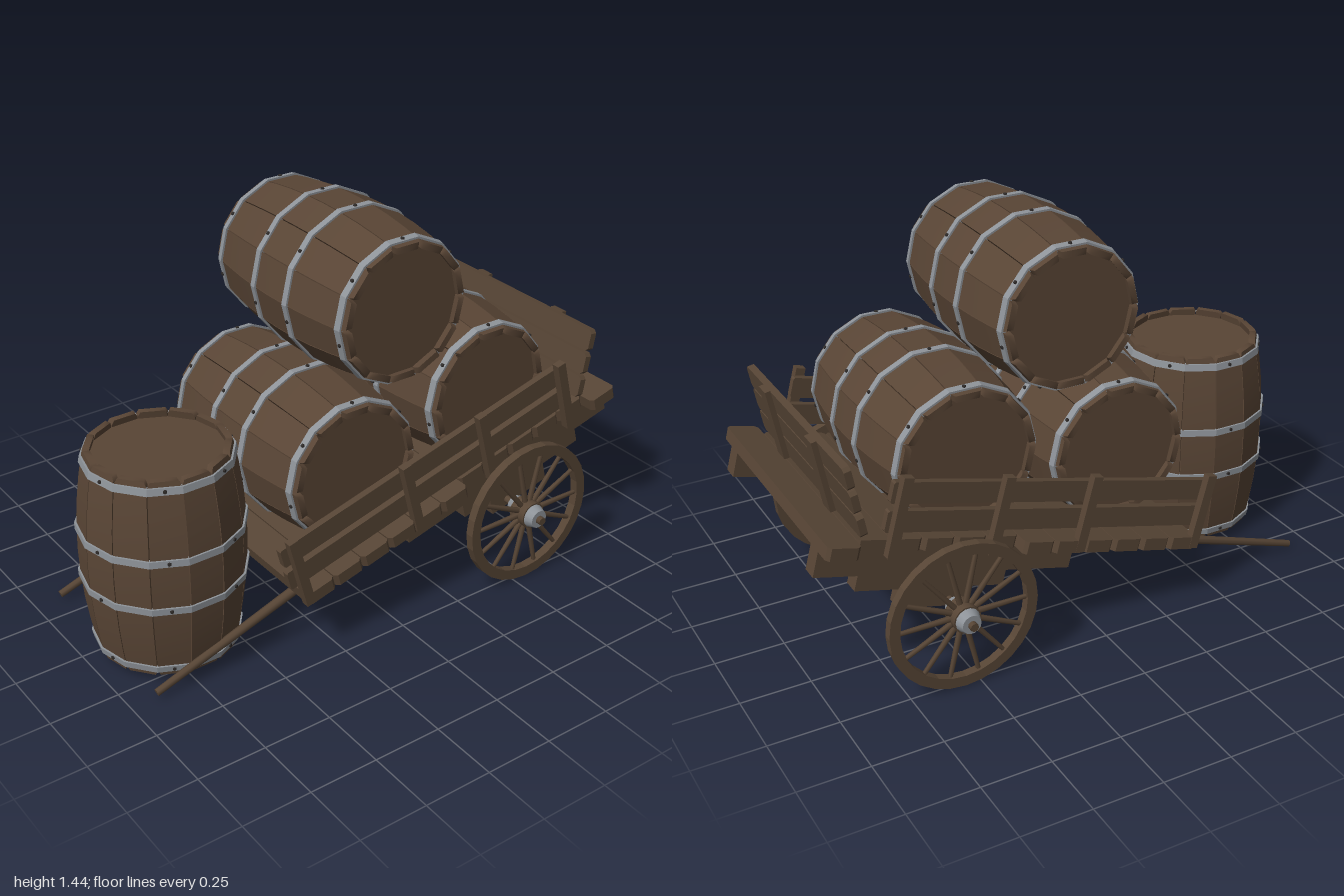
import * as THREE from 'three';
import { mergeGeometries } from 'three/addons/utils/BufferGeometryUtils.js';

const material = (name, color) => Object.assign(new THREE.MeshStandardMaterial({ color }), { name });

export function createModel() {
  const cartWood = material('cart wood', 0x574535);
  const barrelWood = material('barrel wood', 0x594535);
  const steel = material('hoop steel', 0x8e9399);
  const iron = material('dark iron', 0x2f2b29);
  const model = new THREE.Group();
  model.name = 'barrelCart';

  const add = (parent, name, geo, mat, x = 0, y = 0, z = 0) => {
    const mesh = new THREE.Mesh(geo, mat);
    mesh.name = name;
    mesh.position.set(x, y, z);
    parent.add(mesh);
    return mesh;
  };
  const group = (parent, name, x = 0, y = 0, z = 0) => {
    const g = new THREE.Group();
    g.name = name;
    g.position.set(x, y, z);
    parent.add(g);
    return g;
  };
  const box = (w, h, d) => new THREE.BoxGeometry(w, h, d);
  const flat = (geo) => {
    const g = geo.toNonIndexed();
    g.computeVertexNormals();
    return g;
  };
  // Board with clipped corners: w along x, h along y, thickness t along z
  const board = (w, h, t, c = 0.012) => {
    const a = w / 2, b = h / 2;
    const outline = [[-a + c, -b], [a - c, -b], [a, -b + c], [a, b - c], [a - c, b], [-a + c, b], [-a, b - c], [-a, -b + c]];
    const shape = new THREE.Shape(outline.map(([x, y]) => new THREE.Vector2(x, y)));
    return new THREE.ExtrudeGeometry(shape, { depth: t, bevelEnabled: false }).translate(0, 0, -t / 2);
  };

  // ---- Barrel: bulging staves, hoops, rivets and recessed heads, axis along y ----
  const STAVES = 14, LENGTH = 0.755, STEP = Math.PI * 2 / STAVES;
  const radiusAt = (y) => 0.245 + 0.04 * (1 - (2 * y / LENGTH) ** 2);
  const stave = (i) => {
    const geo = new THREE.BoxGeometry(1, 1, 1, 4, 8, 1);
    const p = geo.attributes.position;
    const a0 = i * STEP + 0.006, a1 = (i + 1) * STEP - 0.006;
    const trim = (i * 5 % 4) * 0.003;
    for (let k = 0; k < p.count; k++) {
      let u = p.getX(k) * 2;
      const v = p.getY(k), outer = p.getZ(k) > 0;
      if (Math.abs(u) === 0.5) u *= 1.7;
      let y = v * (LENGTH - trim);
      if (Math.abs(v) === 0.5 && Math.abs(u) === 1) y -= Math.sign(v) * 0.016;
      const r = radiusAt(y) - (outer ? 0 : 0.024), t = (u + 1) / 2;
      p.setXYZ(k,
        r * THREE.MathUtils.lerp(Math.sin(a0), Math.sin(a1), t), y,
        r * THREE.MathUtils.lerp(Math.cos(a0), Math.cos(a1), t));
    }
    geo.computeVertexNormals();
    return geo;
  };
  const staveGeo = mergeGeometries(Array.from({ length: STAVES }, (_, i) => stave(i)));
  const headGeo = new THREE.CylinderGeometry(0.232, 0.232, 0.02, STAVES);
  const hoopYs = [-0.345, -0.092, 0.093, 0.345];
  const hoopGeos = hoopYs.map((y) => {
    const lo = y - 0.012, hi = y + 0.012;
    const profile = [[radiusAt(lo) - 0.01, lo], [radiusAt(lo) + 0.007, lo], [radiusAt(hi) + 0.007, hi], [radiusAt(hi) - 0.01, hi]];
    return flat(new THREE.LatheGeometry(profile.map(([r, h]) => new THREE.Vector2(r, h)), STAVES));
  });
  const rivetGeo = mergeGeometries(hoopYs.flatMap((y) => Array.from({ length: 7 }, (_, i) => {
    const r = (radiusAt(y) + 0.007) * Math.cos(STEP / 2);
    return new THREE.CylinderGeometry(0.006, 0.008, 0.01, 6)
      .rotateX(Math.PI / 2).translate(0, y, r).rotateY((2 * i + 0.5) * STEP);
  })));
  const barrel = (name, x, y, z, lying) => {
    const g = group(model, name, x, y, z);
    add(g, 'staves', staveGeo, barrelWood);
    hoopGeos.forEach((h) => add(g, 'hoop', h, steel));
    add(g, 'rivets', rivetGeo, iron);
    for (const s of [-1, 1]) add(g, 'barrelHead', headGeo, barrelWood, 0, s * 0.34, 0);
    if (lying) g.rotation.z = -Math.PI / 2;
  };
  barrel('topBarrel', 0.022, 1.16, -0.06, true);
  barrel('frontBarrel', 0.022, 0.626, 0.134, true);
  barrel('rearBarrel', 0.022, 0.745, -0.445, true);
  barrel('standingBarrel', 0.08, 0.408, 0.705, false);

  // ---- Tilted cart body: origin at the front edge of the bed, running to -z ----
  const cart = group(model, 'cartBody', 0, 0.25, 0.385);
  cart.rotation.x = 0.257;
  for (let i = 0; i < 12; i++) {
    const width = i > 5 && i < 11 ? 0.84 : 0.94;
    add(cart, 'bedPlank', board(width, 0.115, 0.045).rotateX(Math.PI / 2), cartWood, 0, 0, -0.06 - i * 0.119);
  }
  for (const s of [-1, 1]) {
    // Stepped bearers under the bed
    for (const [from, to, top, bottom] of [[-0.47, -1.425, -0.02, -0.115], [-0.72, -1.27, -0.115, -0.17], [-0.84, -1.1, -0.17, -0.24]]) {
      add(cart, 'bearer', box(0.06, top - bottom, from - to), cartWood, s * 0.37, (top + bottom) / 2, (from + to) / 2);
    }
    // Side rails and their posts
    for (const y of [0.095, 0.195]) {
      add(cart, 'sideRail', board(1.265, 0.075, 0.025, 0.006).rotateY(Math.PI / 2), cartWood, s * 0.428, y, -0.6);
    }
    for (const z of [-0.01, -0.49, -0.83, -1.2]) {
      add(cart, 'sidePost', box(0.03, 0.28, 0.035), cartWood, s * 0.456, 0.12, z);
    }
    // Tapered pulling shaft
    const shaft = new THREE.CylinderGeometry(0.013, 0.021, 1.0, 8);
    const arm = add(model, 'shaft', shaft, cartWood, s * 0.34, 0.183, 0.43);
    arm.rotation.x = Math.PI / 2 + 0.32;
  }

  // ---- Tailgate leaning backwards ----
  const gate = group(model, 'tailgate', 0, 0.605, -0.85);
  gate.rotation.x = -0.187;
  for (let i = 0; i < 3; i++) {
    add(gate, 'tailgateBoard', board(0.86, 0.082, 0.025), cartWood, 0, 0.05 + i * 0.09, 0);
  }
  for (const x of [-0.19, 0.22]) add(gate, 'tailgatePost', box(0.06, 0.27, 0.02), cartWood, x, 0.14, -0.022);

  // ---- Wheels and axle ----
  const rimProfile = [[0.232, -0.016], [0.27, -0.016], [0.27, 0.016], [0.232, 0.016], [0.232, -0.016]];
  const rimGeo = flat(new THREE.LatheGeometry(rimProfile.map(([r, h]) => new THREE.Vector2(r, h)), 28));
  const SPOKES = 14;
  const spokeGeo = mergeGeometries(Array.from({ length: SPOKES }, (_, i) =>
    new THREE.CylinderGeometry(0.008, 0.011, 0.21, 6)
      .rotateX(Math.PI / 2).translate(0, 0, 0.135).rotateY(i * Math.PI * 2 / SPOKES)));
  for (const s of [-1, 1]) {
    const wheel = group(model, s > 0 ? 'leftWheel' : 'rightWheel', s * 0.505, 0.273, -0.555);
    wheel.rotation.z = -s * Math.PI / 2;
    add(wheel, 'rim', rimGeo, cartWood);
    add(wheel, 'spokes', spokeGeo, cartWood);
    add(wheel, 'hub', new THREE.CylinderGeometry(0.05, 0.05, 0.07, 14), cartWood);
    add(wheel, 'outerHubCap', new THREE.CylinderGeometry(0.034, 0.045, 0.032, 14), steel, 0, 0.05, 0);
    add(wheel, 'innerHubCap', new THREE.CylinderGeometry(0.045, 0.034, 0.032, 14), steel, 0, -0.05, 0);
  }
  add(model, 'axle', new THREE.CylinderGeometry(0.015, 0.015, 1.18, 10).rotateZ(Math.PI / 2), cartWood, 0, 0.273, -0.555);

  return model;
}
